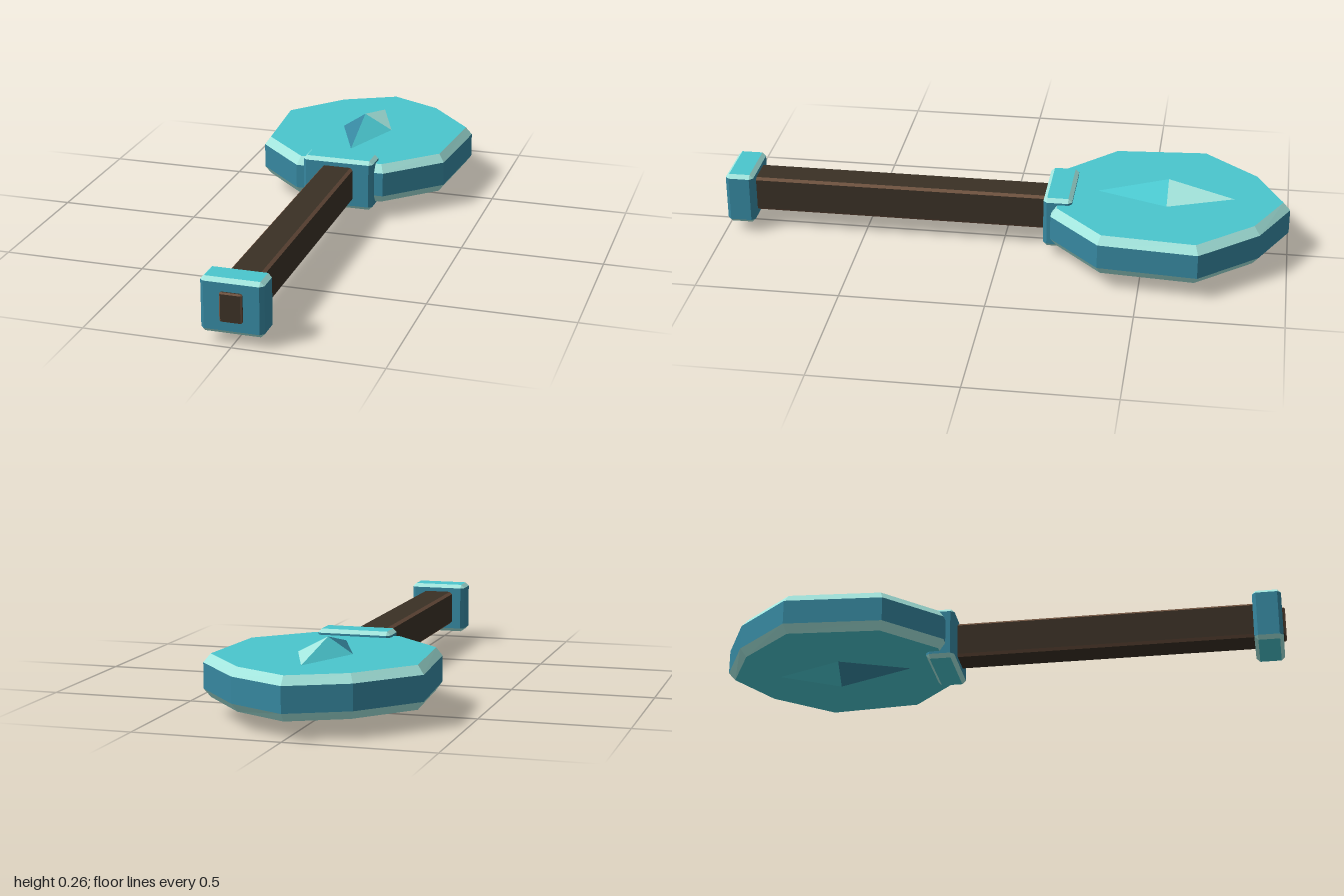
import * as THREE from 'three';

const mat = (name, color) => new THREE.MeshStandardMaterial({ name, color, flatShading: true });

// Convex prism along y with bevelled rims. Outlines are [x, z], counter-clockwise from above.
// slots(i) gives the material slot of wall i; slot 1 is the bevel, slot 2 the caps.
function bevelPrism(outer, inner, y0, y1, c, slots = () => 0) {
  const buckets = [[], [], []];
  const ring = (pts, y) => pts.map(([x, z]) => new THREE.Vector3(x, y, z));
  const rings = [ring(inner, y0), ring(outer, y0 + c), ring(outer, y1 - c), ring(inner, y1)];
  const tri = (slot, a, b, d) => {
    const area = b.clone().sub(a).cross(d.clone().sub(a)).length();
    if (area > 1e-9) for (const p of [a, b, d]) buckets[slot].push(p.x, p.y, p.z);
  };
  const n = outer.length;
  for (let r = 0; r < 3; r++) {
    for (let i = 0; i < n; i++) {
      const j = (i + 1) % n, slot = r === 1 ? slots(i) : 1;
      tri(slot, rings[r][i], rings[r][j], rings[r + 1][j]);
      tri(slot, rings[r][i], rings[r + 1][j], rings[r + 1][i]);
    }
  }
  for (let i = 1; i < n - 1; i++) {
    tri(2, rings[3][0], rings[3][i], rings[3][i + 1]);
    tri(2, rings[0][0], rings[0][i + 1], rings[0][i]);
  }
  const g = new THREE.BufferGeometry();
  g.setAttribute('position', new THREE.Float32BufferAttribute(buckets.flat(), 3));
  let start = 0;
  buckets.forEach((b, k) => { g.addGroup(start, b.length / 3, k); start += b.length / 3; });
  g.computeVertexNormals();
  return g;
}

// Box with chamfered edges: even walls are corner chamfers, odd walls are flat sides.
function chamferBox(w, d, y0, y1, c, slots) {
  const outer = [], inner = [];
  for (const [sx, sz] of [[-1, -1], [-1, 1], [1, 1], [1, -1]]) {
    const alongX = [sx * (w - c), sz * d], alongZ = [sx * w, sz * (d - c)];
    outer.push(...(sx * sz > 0 ? [alongX, alongZ] : [alongZ, alongX]));
    inner.push([sx * (w - c), sz * (d - c)], [sx * (w - c), sz * (d - c)]);
  }
  return bevelPrism(outer, inner, y0, y1, c, slots);
}

// Mirrors a half outline given from the back tip down the left side.
const mirrored = half => [
  ...half.map(([x, z]) => [-x, z]),
  ...half.slice(1).reverse(),
];

export function createModel() {
  const model = new THREE.Group();
  const teal = mat('teal', 0x4ac6ce);
  const blue = mat('deep blue', 0x36879f);
  const pale = mat('pale aqua', 0xa4e6de);
  const wood = mat('dark wood', 0x3a3025);
  const edge = mat('wood edge', 0x6e523f);
  const add = (name, geometry, material) => {
    const mesh = new THREE.Mesh(geometry, material);
    mesh.name = name;
    model.add(mesh);
    return mesh;
  };
  const metal = [blue, pale, teal];

  // Broad bevelled head
  add('head', bevelPrism(
    mirrored([[0, -1], [0.2, -0.9], [0.372, -0.7], [0.345, -0.36], [0.163, -0.18]]),
    mirrored([[0, -0.975], [0.187, -0.88], [0.35, -0.69], [0.325, -0.37], [0.152, -0.2]]),
    0.06, 0.205, 0.029), metal);

  // Four-sided crystal spikes above and below the head
  const rim = [[0, -0.81], [-0.1, -0.57], [0, -0.325], [0.09, -0.575]];
  const facets = [teal, blue, teal, pale];
  for (const up of [true, false]) {
    const pos = [];
    const baseY = up ? 0.204 : 0.061, tipY = up ? 0.26 : 0;
    rim.forEach(([x, z], i) => {
      const [x2, z2] = rim[(i + 1) % 4];
      const a = [x, baseY, z], b = [x2, baseY, z2], tip = [-0.015, tipY, -0.575];
      pos.push(...(up ? [a, b, tip] : [b, a, tip]).flat());
    });
    const g = new THREE.BufferGeometry();
    g.setAttribute('position', new THREE.Float32BufferAttribute(pos, 3));
    for (let i = 0; i < 4; i++) g.addGroup(i * 3, 3, i);
    g.computeVertexNormals();
    add(up ? 'topSpike' : 'bottomSpike', g, facets);
  }

  // Collar at the head and pommel at the grip end
  add('collar', chamferBox(0.13, 0.05, 0.038, 0.225, 0.013), metal).position.z = -0.2;
  add('pommel', chamferBox(0.105, 0.05, 0.038, 0.225, 0.013), metal).position.z = 0.94;

  // Wooden shaft with worn edges, and its end peg poking through the pommel
  const wooden = [wood, edge, wood];
  const bar = (name, w, h, z0, z1, c) => {
    const g = chamferBox(w, h, z0, z1, c, i => (i % 2 ? 0 : 1));
    g.rotateX(Math.PI / 2);
    add(name, g, wooden).position.y = 0.133;
  };
  bar('handle', 0.058, 0.064, -0.22, 0.95, 0.009);
  bar('endPeg', 0.038, 0.05, 0.9, 1, 0.005);

  return model;
}
